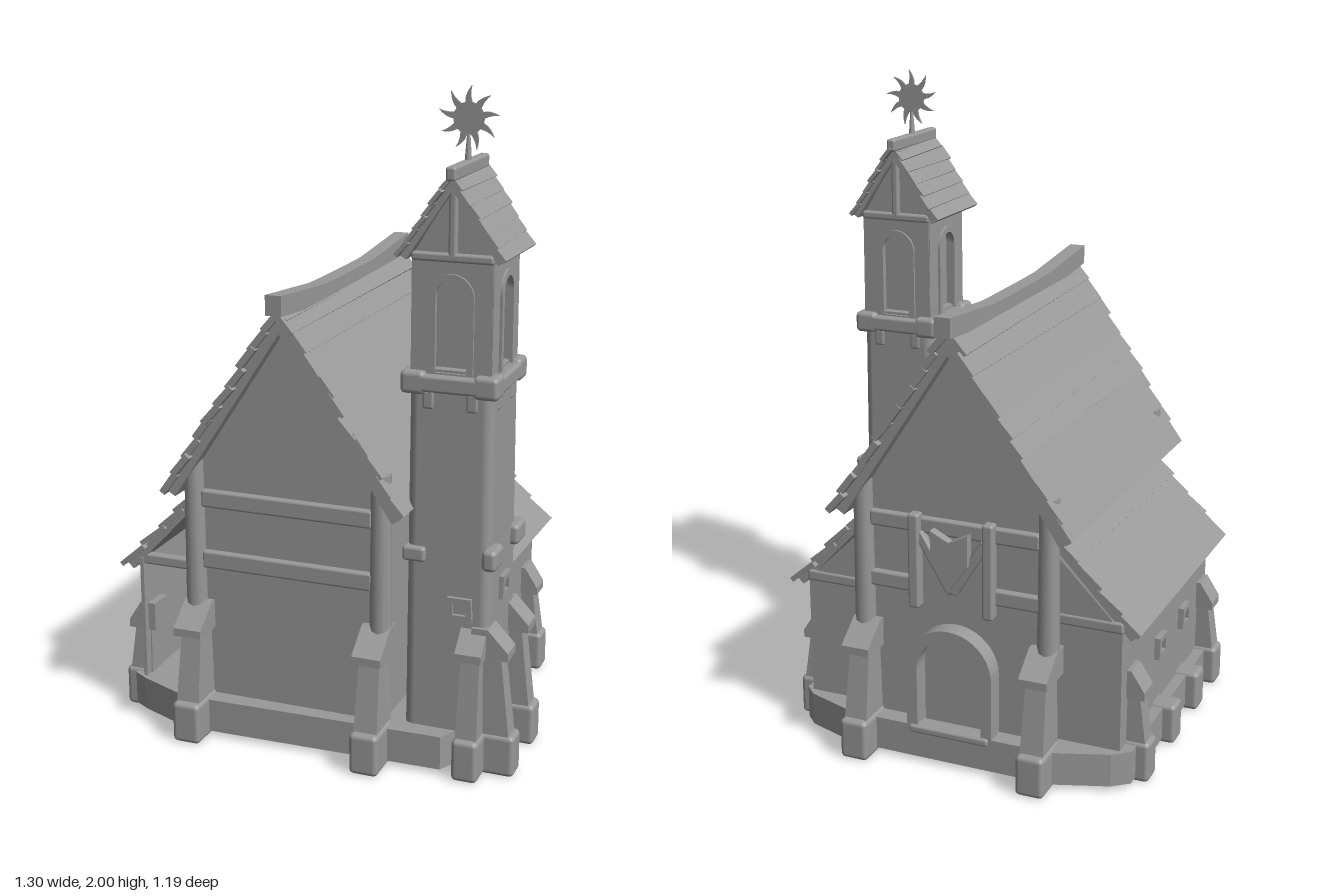
import * as THREE from 'three';
import { RoundedBoxGeometry } from 'three/addons/geometries/RoundedBoxGeometry.js';

const stone = new THREE.MeshStandardMaterial({ color: 0x999999 });
stone.name = 'grey stone';
stone.side = THREE.DoubleSide;
const outside = new THREE.MeshStandardMaterial({ color: 0x999999 });
outside.name = 'grey wall';

let seed = 7;
const rnd = (a) => {
  seed = (seed * 16807) % 2147483647;
  return (seed / 2147483647 * 2 - 1) * a;
};

function add(parent, geo, name, x = 0, y = 0, z = 0, mat = stone) {
  const m = new THREE.Mesh(geo, mat);
  m.name = name;
  m.position.set(x, y, z);
  parent.add(m);
  return m;
}
function group(parent, name, x = 0, y = 0, z = 0, ry = 0) {
  const g = new THREE.Group();
  g.name = name;
  g.position.set(x, y, z);
  g.rotation.y = ry;
  parent.add(g);
  return g;
}
const box = (w, h, d) => new THREE.BoxGeometry(w, h, d);
const block = (w, h, d, r = 0.015) => new RoundedBoxGeometry(w, h, d, 2, r);
const poly = (pts) => new THREE.Shape(pts.map((p) => new THREE.Vector2(...p)));
const extrude = (shape, depth) =>
  new THREE.ExtrudeGeometry(shape, { depth, bevelEnabled: false, curveSegments: 10 });

// Round-headed outline: half width w, from y0 up to the spring line y1
function archPath(w, y0, y1, Type = THREE.Shape) {
  const p = new Type();
  p.moveTo(-w, y0);
  p.lineTo(w, y0);
  p.lineTo(w, y1);
  p.absarc(0, y1, w, 0, Math.PI, false);
  p.lineTo(-w, y0);
  return p;
}
function archRing(w, t, y0, y1, depth) {
  const s = archPath(w, y0, y1);
  s.holes.push(archPath(w - t, y0 + 0.002, y1, THREE.Path));
  return extrude(s, depth);
}

// Timber between two points in the xy plane
function timber(parent, name, x0, y0, x1, y1, z, w, d) {
  const m = add(parent, block(Math.hypot(x1 - x0, y1 - y0), w, d, 0.008), name,
    (x0 + x1) / 2, (y0 + y1) / 2, z);
  m.rotation.z = Math.atan2(y1 - y0, x1 - x0);
}

// Sloping roof side made of uneven overlapping boards
function roofSide(parent, name, x0, y0, x1, y1, z0, z1, n, t) {
  const g = group(parent, name, (x0 + x1) / 2, (y0 + y1) / 2, (z0 + z1) / 2);
  g.rotation.z = Math.atan2(y1 - y0, x1 - x0);
  const up = x1 > x0 ? 1 : -1;
  const len = Math.hypot(x1 - x0, y1 - y0), d = z1 - z0, step = len / n;
  add(g, box(len, t, d - 0.03), 'roof deck', 0, -up * t / 2, 0);
  for (let i = 0; i < n; i++) {
    const b = add(g, box(step * 1.15, t * 0.6, d + rnd(0.015)), 'roof board',
      -len / 2 + step * (i + 0.5), up * t * 0.12, rnd(0.008));
    b.rotation.set(rnd(t * 0.25 / d), rnd(0.03 * step / t / 4), up * (0.1 + rnd(0.06)));
  }
}

// Stepped buttress pointing along local +z; origin on the wall line
function buttress(parent, x, z, ry, w, d, h) {
  const g = group(parent, 'buttress', x, 0, z, ry);
  add(g, block(w, 0.13, d), 'buttress foot', 0, 0.065, d / 2);
  const stem = box(w * 0.82, h - 0.18, d * 0.85);
  const p = stem.attributes.position;
  for (let i = 0; i < p.count; i++) {
    if (p.getY(i) > 0) {
      p.setX(i, p.getX(i) * 0.85);
      if (p.getZ(i) > 0) p.setZ(i, p.getZ(i) - d * 0.28);
    }
  }
  stem.computeVertexNormals();
  add(g, stem, 'buttress stem', 0, 0.12 + (h - 0.18) / 2, d * 0.425);
  const cap = extrude(poly([[-0.02, h - 0.09], [d * 0.8, h - 0.09], [d * 0.8, h - 0.065], [0.03, h], [-0.02, h]]), w);
  cap.rotateY(-Math.PI / 2);
  add(g, cap, 'buttress cap', w / 2, 0, 0);
}

// Small square window surround facing local +z
function windowFrame(parent, x, y, z, ry) {
  const s = poly([[-0.04, -0.035], [0.04, -0.035], [0.036, 0.035], [-0.036, 0.035]]);
  s.holes.push(poly([[-0.02, -0.018], [-0.02, 0.018], [0.02, 0.018], [0.02, -0.018]]));
  add(parent, extrude(s, 0.025), 'window frame', x, y, z).rotation.y = ry;
}

function buildNave(root) {
  const g = group(root, 'nave', -0.06);
  // Stone plinth following the nave, aisles and tower
  const plan = poly([[-0.33, -0.52], [0.33, -0.52], [0.5, -0.46], [0.54, -0.42], [0.54, 0.42], [0.5, 0.5],
    [-0.33, 0.52], [-0.5, 0.45], [-0.55, 0.42], [-0.55, -0.42], [-0.5, -0.46]]);
  const base = extrude(plan, 0.105);
  base.rotateX(Math.PI / 2);
  add(g, base, 'plinth', 0, 0.12, 0);
  // Gabled hall
  add(g, extrude(poly([[-0.31, 0.1], [0.31, 0.1], [0.31, 0.84], [0, 1.31], [-0.31, 0.84]]), 0.92), 'hall walls', 0, 0, -0.46);
  // Ridge beam with lifted ends
  const ridge = new THREE.BoxGeometry(0.05, 0.06, 1.08, 1, 1, 10);
  const p = ridge.attributes.position;
  for (let i = 0; i < p.count; i++) {
    const k = Math.max(0, Math.abs(p.getZ(i)) - 0.2) / 0.34;
    p.setY(i, p.getY(i) + 0.03 * k);
  }
  ridge.computeVertexNormals();
  add(g, ridge, 'ridge beam', 0, 1.358, 0);

  for (const s of [-1, 1]) {
    roofSide(g, 'main roof', 0, 1.36, s * 0.375, 0.785, -0.52, 0.52, 10, 0.034);
    // Aisle: the right one stops at the tower
    const zEnd = s > 0 ? 0.17 : 0.43;
    roofSide(g, 'aisle roof', s * 0.31, 0.76, s * 0.56, 0.495, -0.44, zEnd + 0.01, 4, 0.026);
    add(g, box(0.012, 0.42, zEnd + 0.43), 'aisle wall', s * 0.51, 0.31, (zEnd - 0.43) / 2);
    const end = new THREE.ShapeGeometry(poly([[-0.51, 0.1], [-0.3, 0.1], [-0.3, 0.72], [-0.51, 0.51]].map(([x, y]) => [x * s, y])));
    end.rotateY(Math.PI);
    end.scale(-1, 1, 1);
    const idx = end.index.array;
    for (let i = 0; i < idx.length; i += 3) [idx[i], idx[i + 1]] = [idx[i + 1], idx[i]];
    const nrm = end.attributes.normal, wantBack = end.index;
    // Face the sheet outwards to the back
    const v = [0, 1, 2].map((k) => new THREE.Vector3().fromBufferAttribute(end.attributes.position, wantBack.getX(k)));
    if (v[1].clone().sub(v[0]).cross(v[2].clone().sub(v[0])).z > 0)
      for (let i = 0; i < idx.length; i += 3) [idx[i], idx[i + 1]] = [idx[i + 1], idx[i]];
    for (let i = 0; i < nrm.count; i++) nrm.setXYZ(i, 0, 0, -1);
    add(g, end, 'aisle end wall', 0, 0, -0.43, outside);
    timber(g, 'aisle beam', s * 0.3, 0.515, s * 0.52, 0.515, s > 0 ? -0.42 : 0.41, 0.035, 0.03);
    if (s < 0) timber(g, 'aisle beam', -0.3, 0.515, -0.52, 0.515, -0.42, 0.035, 0.03);
    // Aisle feet, end buttresses and windows
    for (const z of s > 0 ? [-0.34, -0.075, 0.09] : [-0.34, -0.08, 0.165, 0.37]) {
      if (z === -0.34 || z === 0.37) buttress(g, s * 0.5, z, s * Math.PI / 2, 0.08, 0.09, 0.36);
      else {
        add(g, block(0.09, 0.13, 0.08), 'aisle foot', s * 0.545, 0.065, z);
        if (z !== 0.09) windowFrame(g, s * 0.51, 0.315, z, s * Math.PI / 2);
      }
    }
    // Facade buttresses and round corner posts, front and back
    for (const f of [-1, 1]) {
      buttress(g, s * 0.29, f * 0.45, f > 0 ? 0 : Math.PI, 0.09, 0.145, 0.43);
      add(g, new THREE.CylinderGeometry(0.03, 0.034, 0.5, 10), 'corner post', s * 0.3, 0.65, f * 0.465);
    }
  }
  // Facade beams
  for (const y of [0.76, 0.565]) add(g, block(0.55, 0.055, 0.03, 0.008), 'front beam', 0, y, 0.465);
  add(g, block(0.55, 0.05, 0.03, 0.008), 'back beam', 0, 0.76, -0.465);
  for (const s of [-1, 1]) add(g, block(0.16, 0.05, 0.03, 0.008), 'back beam', s * 0.2, 0.565, -0.465);

  // Back doorway, with braced timbers and a shield above
  const d = group(g, 'doorway', 0, 0, -0.46, Math.PI);
  add(d, archRing(0.14, 0.035, 0.1, 0.31, 0.06), 'door surround');
  add(d, extrude(archPath(0.1, 0.1, 0.31), 0.008), 'door');
  for (const s of [-1, 1]) {
    timber(d, 'brace post', s * 0.12, 0.5, s * 0.12, 0.8, 0.025, 0.035, 0.04);
    timber(d, 'brace', s * 0.11, 0.74, 0, 0.56, 0.02, 0.03, 0.03);
  }
  add(d, extrude(poly([[-0.06, 0.76], [-0.06, 0.66], [0, 0.58], [0.06, 0.66], [0.06, 0.76], [0, 0.73]]), 0.03), 'shield', 0, 0, 0.02);
  add(d, block(0.26, 0.025, 0.06, 0.008), 'door step', 0, 0.11, 0.04);
}

function buildTower(root) {
  const g = group(root, 'tower', 0.435, 0, 0.303);
  // Square shaft with softened corners and a slight taper
  const shaft = new RoundedBoxGeometry(0.255, 1.18, 0.275, 3, 0.03);
  const p = shaft.attributes.position;
  for (let i = 0; i < p.count; i++) {
    const k = 1 - 0.05 * (p.getY(i) / 1.18);
    p.setX(i, p.getX(i) * k);
    p.setZ(i, p.getZ(i) * k);
  }
  add(g, shaft, 'tower shaft', 0, 0.595, 0);

  // Belfry: core, four arched walls and surrounds
  add(g, box(0.19, 0.32, 0.2), 'belfry core', 0, 1.37, 0);
  for (let i = 0; i < 4; i++) {
    const odd = i % 2, w = odd ? 0.13 : 0.12, out = odd ? 0.12 : 0.13;
    const f = group(g, 'belfry side', 0, 0, 0, i * Math.PI / 2);
    const wall = poly([[-w, 1.2], [w, 1.2], [w * 0.97, 1.54], [-w * 0.97, 1.54]]);
    wall.holes.push(archPath(0.055, 1.22, 1.43, THREE.Path));
    add(f, extrude(wall, 0.03), 'belfry wall', 0, 0, out - 0.03);
    add(f, archRing(0.066, 0.02, 1.21, 1.43, 0.014), 'belfry arch', 0, 0, out - 0.006);
    // Collar stones and corbels
    add(f, block(0.2, 0.05, 0.04, 0.01), 'collar stone', 0, 1.18, out + 0.005);
    add(f, block(0.075, 0.068, 0.075), 'collar corner', w - 0.012, 1.18, out - 0.012);
    for (const s of [-1, 1]) add(f, block(0.035, 0.055, 0.035, 0.008), 'corbel', s * 0.065, 1.13, out - 0.008);
  }

  // Gabled cap
  add(g, extrude(poly([[-0.125, 1.53], [0.125, 1.53], [0, 1.74]]), 0.24), 'cap gable', 0, 0, -0.12);
  for (const s of [-1, 1]) {
    roofSide(g, 'cap roof', 0, 1.765, s * 0.15, 1.54, -0.155, 0.155, 6, 0.02);
    timber(g, 'gable post', 0, 1.54, 0, 1.73, s * 0.125, 0.024, 0.025);
    timber(g, 'gable sill', -0.12, 1.54, 0.12, 1.54, s * 0.125, 0.025, 0.025);
  }
  add(g, block(0.03, 0.04, 0.32, 0.008), 'cap ridge', 0, 1.775, 0);

  // Sun finial with curved rays
  add(g, new THREE.CylinderGeometry(0.005, 0.012, 0.09, 8), 'finial rod', 0, 1.82, 0);
  const sun = new THREE.Shape(), n = 9;
  const at = (a, r) => [Math.sin(a) * r, Math.cos(a) * r];
  sun.moveTo(...at(-0.22, 0.045));
  for (let i = 0; i < n; i++) {
    const a = i * Math.PI * 2 / n;
    sun.quadraticCurveTo(...at(a - 0.2, 0.065), ...at(a + 0.08, 0.09));
    sun.quadraticCurveTo(...at(a + 0.02, 0.065), ...at(a + 0.2, 0.045));
    sun.lineTo(...at(a + Math.PI * 2 / n - 0.22, 0.045));
  }
  add(g, extrude(sun, 0.007), 'sun finial', 0, 1.91, -0.0035);

  // Buttresses around the outer corners
  buttress(g, 0.085, 0.1, 0, 0.08, 0.125, 0.46);
  buttress(g, 0.085, -0.1, Math.PI, 0.08, 0.135, 0.46);
  for (const s of [-1, 1]) buttress(g, 0.1, s * 0.11, Math.PI / 2, 0.08, 0.115, 0.46);

  // Projecting stones and window surrounds
  for (const s of [-1, 1]) {
    add(g, block(0.045, 0.065, 0.09), 'corner stone', 0.13, 0.675, s * 0.12);
    add(g, block(0.07, 0.045, 0.04, 0.01), 'corner stone', -0.1, 0.665, s * 0.135);
  }
  windowFrame(g, 0.04, 0.51, 0.125, 0);
  windowFrame(g, 0.117, 0.55, 0, Math.PI / 2);
}

export function createModel() {
  const root = new THREE.Group();
  root.name = 'chapel';
  buildNave(root);
  buildTower(root);
  return root;
}
